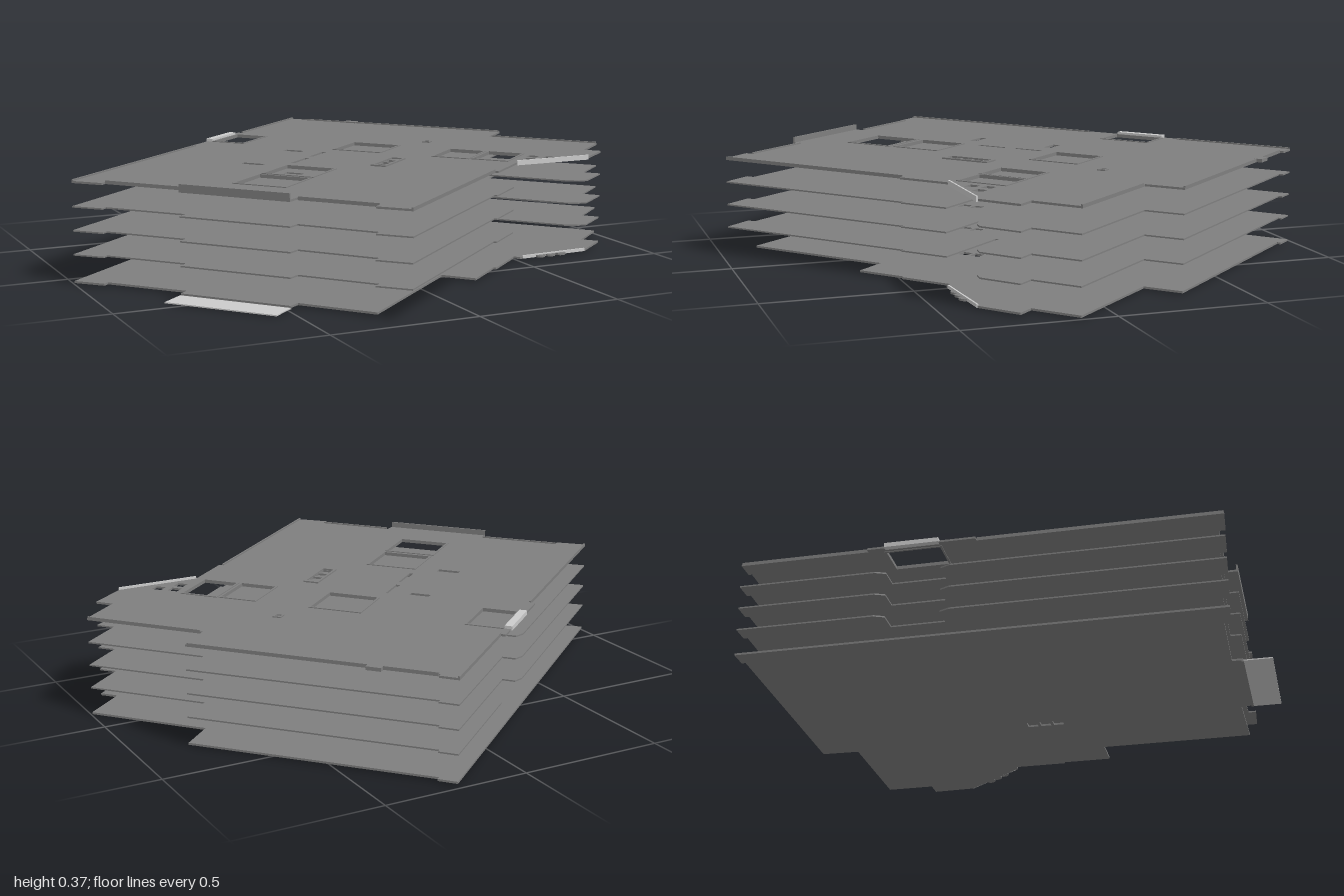
import * as THREE from 'three';

const slabMat = new THREE.MeshStandardMaterial({ color: 0x7f7f7f, flatShading: true, side: THREE.DoubleSide });
const paleMat = new THREE.MeshStandardMaterial({ color: 0xcccccc, flatShading: true, side: THREE.DoubleSide });

// Plan coordinates: u runs along the building, v runs across it.
const flat = ([u, v]) => new THREE.Vector2(u, -v);
const rect = (u0, u1, v0, v1) => [[u0, v0], [u1, v0], [u1, v1], [u0, v1]];

function slab(name, outline, holes, y, depth, mat = slabMat) {
  const shape = new THREE.Shape(outline.map(flat));
  holes.forEach(h => shape.holes.push(new THREE.Path(h.map(flat))));
  const geo = new THREE.ExtrudeGeometry(shape, { depth, bevelEnabled: false });
  geo.rotateX(-Math.PI / 2);
  const mesh = new THREE.Mesh(geo, mat);
  mesh.name = name;
  mesh.position.y = y;
  return mesh;
}

// Straight wall or kerb between two plan points
function wall(name, a, b, thick, y0, y1, mat = slabMat) {
  const du = b[0] - a[0], dv = b[1] - a[1];
  const mesh = new THREE.Mesh(new THREE.BoxGeometry(Math.hypot(du, dv), y1 - y0, thick), mat);
  mesh.position.set((a[0] + b[0]) / 2, (y0 + y1) / 2, (a[1] + b[1]) / 2);
  mesh.rotation.y = -Math.atan2(dv, du);
  mesh.name = name;
  return mesh;
}

// Outline pieces, walked from the back-left corner along the back
const backEdge = {
  ground: [[-0.812, -0.59], [0.817, -0.59]],
  middle: [[-0.812, -0.59], [0.09, -0.59], [0.125, -0.575], [0.125, -0.5], [0.31, -0.5], [0.31, -0.575], [0.345, -0.59], [0.817, -0.59]],
  roof: [[-0.812, -0.59], [0, -0.59], [0, -0.605], [0.125, -0.605], [0.125, -0.592], [0.31, -0.592], [0.31, -0.605], [0.37, -0.605], [0.37, -0.59], [0.817, -0.59]],
};
const rightEnd = [[0.817, -0.525], [0.803, -0.525], [0.815, 0.315], [0.68, 0.32], [0.68, 0.742], [0.507, 0.742], [0.507, 0.805]];
const entrance = {
  ground: [[0.353, 0.8], [0.13, 0.63], [0.13, 0.607], [-0.06, 0.607]],
  middle: [[0.36, 0.8], [0.335, 0.775], [0.318, 0.73], [0.318, 0.3], [0.115, 0.3], [0.115, 0.607], [-0.06, 0.607]],
  roof: [[0.353, 0.8], [0.13, 0.61], [-0.06, 0.61]],
};
const frontCorner = [[-0.06, 0.597], [-0.8, 0.598], [-0.806, 0.48], [-0.778, 0.48]];
const groundCorner = [[-0.06, 0.597], [-0.235, 0.597], [-0.235, 0.475], [-0.778, 0.475]];
const leftEnd = [[-0.773, 0.205], [-0.815, 0.2], [-0.815, -0.188], [-0.778, -0.188], [-0.783, -0.48], [-0.805, -0.48]];

const outline = kind => [
  ...backEdge[kind], ...rightEnd, ...entrance[kind],
  ...(kind === 'ground' ? groundCorner : frontCorner), ...leftEnd,
];

// Openings
const shafts = [-0.112, -0.065, -0.018].map(u => rect(u - 0.018, u + 0.018, 0.186, 0.224));
const lifts = [
  rect(0.035, 0.062, -0.242, -0.172), rect(-0.282, -0.256, -0.25, -0.17),
  rect(-0.042, 0.068, -0.103, -0.088), rect(-0.195, -0.08, -0.1, -0.085),
];
const skylights = [
  [-0.635, -0.46, -0.085, 0.095], [-0.43, -0.257, -0.083, 0.093], [0.136, 0.312, -0.083, 0.093],
  [0.137, 0.311, 0.3, 0.427], [0.142, 0.314, 0.446, 0.57], [0.127, 0.31, -0.575, -0.457],
];
const entranceLights = [[0.226, 0.625], [0.283, 0.62], [0.287, 0.68]];

export function createModel() {
  const model = new THREE.Group();
  model.name = 'stackedFloors';
  const plan = new THREE.Group();
  plan.name = 'floors';
  plan.rotation.y = 0.7093;
  model.add(plan);

  // Ground floor, entrance ramp and service ramp
  plan.add(slab('groundFloor', outline('ground'), shafts, 0.005, 0.007));
  plan.add(slab('sideRamp', rect(-0.913, -0.816, -0.19, 0.2), [], 0.002, 0.004, paleMat));
  plan.add(wall('sideRampKerb', [-0.813, -0.188], [-0.813, 0.2], 0.008, 0, 0.006));
  plan.add(wall('entranceScreen', [0.14, 0.635], [0.35, 0.797], 0.006, 0.005, 0.016, paleMat));
  [0.2, 0.232, 0.264].forEach((u, i) => {
    const drum = new THREE.Mesh(new THREE.CylinderGeometry(0.02, 0.02, 0.007, 16), slabMat);
    drum.name = 'entranceDrum';
    drum.position.set(u, 0.0085, 0.679 + i * 0.027);
    plan.add(drum);
  });

  // Middle floors with the open entrance hall
  [0.097, 0.177, 0.257].forEach((y, i) =>
    plan.add(slab('middleFloor' + (i + 1), outline('middle'), [...shafts, ...lifts], y, 0.005)));

  // Shallow beams hanging under the floors
  const beams = [
    [0.255, [-0.65, -0.18], [-0.65, 0.18]], [0.255, [-0.03, -0.2], [-0.03, 0.18]], [0.255, [0.27, -0.08], [0.67, -0.08]],
    [0.175, [-0.65, -0.18], [-0.65, 0.18]], [0.175, [-0.035, -0.2], [-0.035, 0.18]], [0.175, [0.27, -0.08], [0.67, -0.08]],
    [0.093, [-0.15, -0.2], [-0.15, 0.18]], [0.093, [0.43, -0.25], [0.43, 0.13]],
    [0.331, [-0.2, -0.1], [-0.2, 0.15]],
  ];
  beams.forEach(([y, a, b]) => plan.add(wall('beam', a, b, 0.008, y, y + 0.007)));

  // Roof with skylight openings
  const roofHoles = [
    ...shafts, ...lifts, ...skylights.map(s => rect(...s)),
    ...entranceLights.map(([u, v]) => rect(u - 0.018, u + 0.018, v - 0.018, v + 0.018)),
  ];
  plan.add(slab('roof', outline('roof'), roofHoles, 0.338, 0.007));

  // Raised frames around the skylights
  skylights.forEach(([a, b, c, d]) => {
    const t = 0.007;
    plan.add(slab('skylightFrame', rect(a - t, b + t, c - t, d + t), [rect(a, b, c, d)], 0.336, 0.012));
  });
  plan.add(slab('shaftFrame', rect(-0.142, 0.04, 0.177, 0.233), [rect(-0.132, 0.03, 0.185, 0.225)], 0.338, 0.012));
  plan.add(slab('roofHatch', rect(0.43, 0.46, 0.14, 0.17), [rect(0.436, 0.454, 0.146, 0.164)], 0.34, 0.009));

  // Parapets on the roof edge
  const kerbs = [
    [[-0.81, -0.587], [0, -0.587]], [[0.37, -0.587], [0.815, -0.587]], [[0.802, -0.52], [0.812, 0.31]],
    [[-0.8, 0.595], [-0.06, 0.595]], [[0.678, 0.33], [0.678, 0.74]], [[-0.777, 0.21], [-0.777, 0.48]], [[-0.78, -0.48], [-0.777, -0.19]],
  ];
  kerbs.forEach(([a, b]) => plan.add(wall('parapet', a, b, 0.006, 0.338, 0.35)));
  plan.add(wall('sideParapet', [-0.814, -0.188], [-0.814, 0.2], 0.006, 0.338, 0.365));
  plan.add(wall('entranceFascia', [0.13, 0.612], [0.353, 0.802], 0.006, 0.336, 0.353, paleMat));
  plan.add(wall('edgeBox', [0.812, -0.345], [0.812, -0.295], 0.03, 0.338, 0.35));

  // Pale sloping glass over the rear opening
  const glass = wall('rearGlass', [0.125, -0.597], [0.31, -0.597], 0.026, 0.34, 0.355, paleMat);
  plan.add(glass);
  return model;
}
